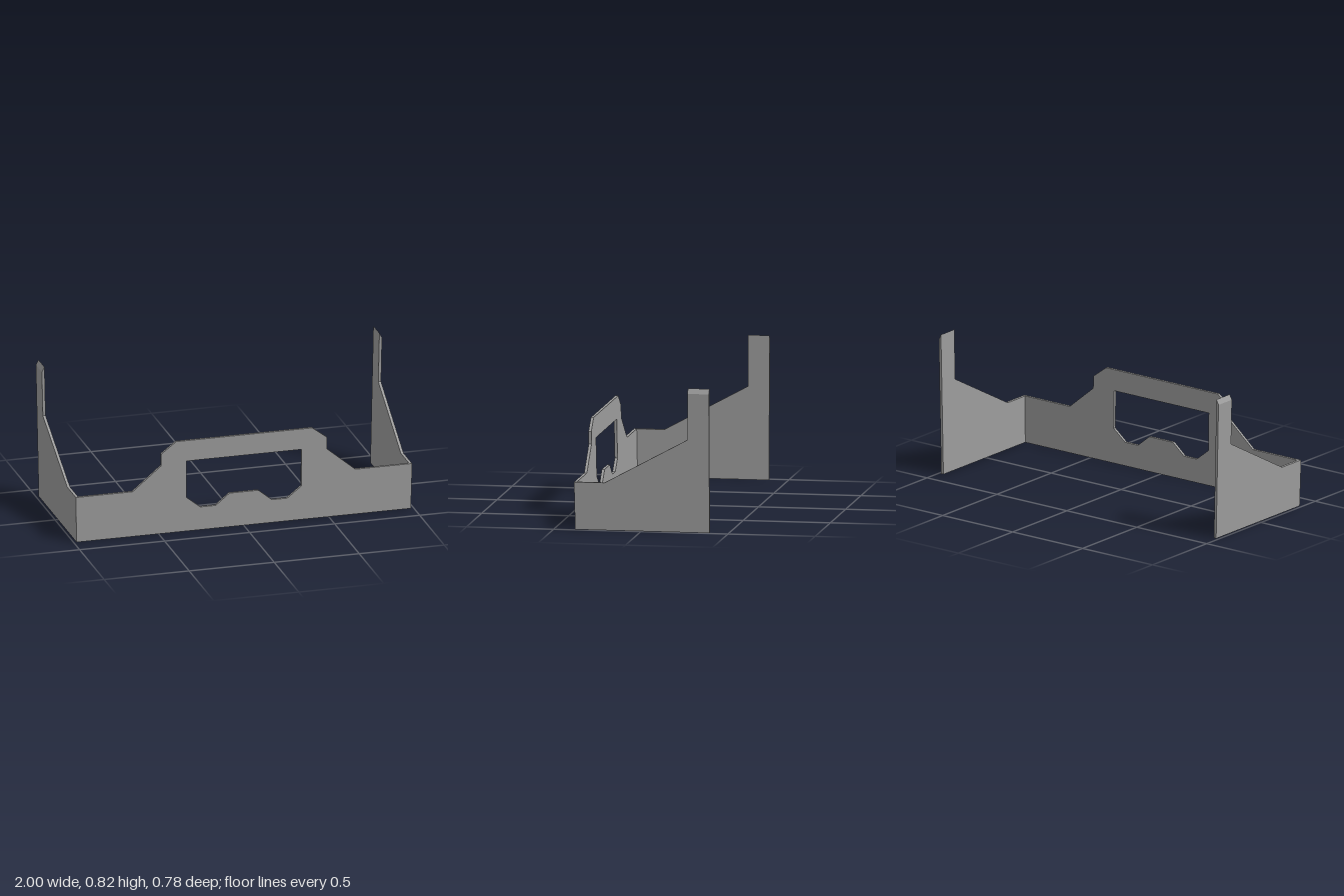
import * as THREE from 'three';

const T = 0.016;      // panel thickness
const LEAN = 0.0215;  // outward lean per unit of height
const HALF_W = 0.983; // outer half width at the base
const FRONT_Z = 0.379; // outer front face at the base
const BACK_Z = -0.391;

const material = new THREE.MeshStandardMaterial({ color: 0x9b9b9b });

const points = (list) => list.map(([x, y]) => new THREE.Vector2(x, y));
// Completes a symmetric outline from its +x half
const mirrored = (half) => [...half, ...half.map(([x, y]) => [-x, y]).reverse()];

// Extrudes a flat outline and repositions every vertex by a rule
function panel(name, shape, rule) {
  const geometry = new THREE.ExtrudeGeometry(shape, { depth: T, bevelEnabled: false });
  const pos = geometry.attributes.position;
  for (let i = 0; i < pos.count; i++) {
    pos.setXYZ(i, ...rule(pos.getX(i), pos.getY(i), pos.getZ(i)));
  }
  geometry.computeVertexNormals();
  const mesh = new THREE.Mesh(geometry, material);
  mesh.name = name;
  return mesh;
}

// Front panel: raised centre with a notched window, mitred at both ends
function frontPanel() {
  const shape = new THREE.Shape(points(mirrored([
    [HALF_W, 0], [HALF_W, 0.272], [0.655, 0.272], [0.488, 0.412], [0.488, 0.483], [0.4, 0.55],
  ])));
  shape.holes.push(new THREE.Path(points(mirrored([
    [0.338, 0.426], [0.338, 0.204], [0.255, 0.138], [0.165, 0.138], [0.085, 0.204],
  ]))));
  return panel('frontPanel', shape, (x, y, d) => {
    const isEnd = Math.abs(x) > 0.9;
    const shift = isEnd ? LEAN * y - (T - d) : 0;
    return [x + Math.sign(x) * shift, y, FRONT_Z - T + d + LEAN * y];
  });
}

// Side panel: sloping top, tall rear post with its tip bevelled on the outside
function sidePanel(name, side) {
  const shape = new THREE.Shape(points([
    [-FRONT_Z, 0], [-BACK_Z, 0], [-BACK_Z, 0.824], [0.268, 0.824],
    [0.268, 0.531], [-0.21, 0.272], [-FRONT_Z, 0.272],
  ]));
  return panel(name, shape, (u, h, depth) => {
    const d = side > 0 ? depth : T - depth; // 0 inside, T outside
    const y = h > 0.8 && d > T / 2 ? 0.795 : h;
    const isFrontEdge = u < -0.3;
    const z = -u + (isFrontEdge ? LEAN * y - (T - d) : 0);
    return [side * (HALF_W - T + d + LEAN * y), y, z];
  });
}

export function createModel() {
  const group = new THREE.Group();
  group.name = 'panelSurround';
  group.add(frontPanel(), sidePanel('leftSidePanel', 1), sidePanel('rightSidePanel', -1));
  return group;
}
